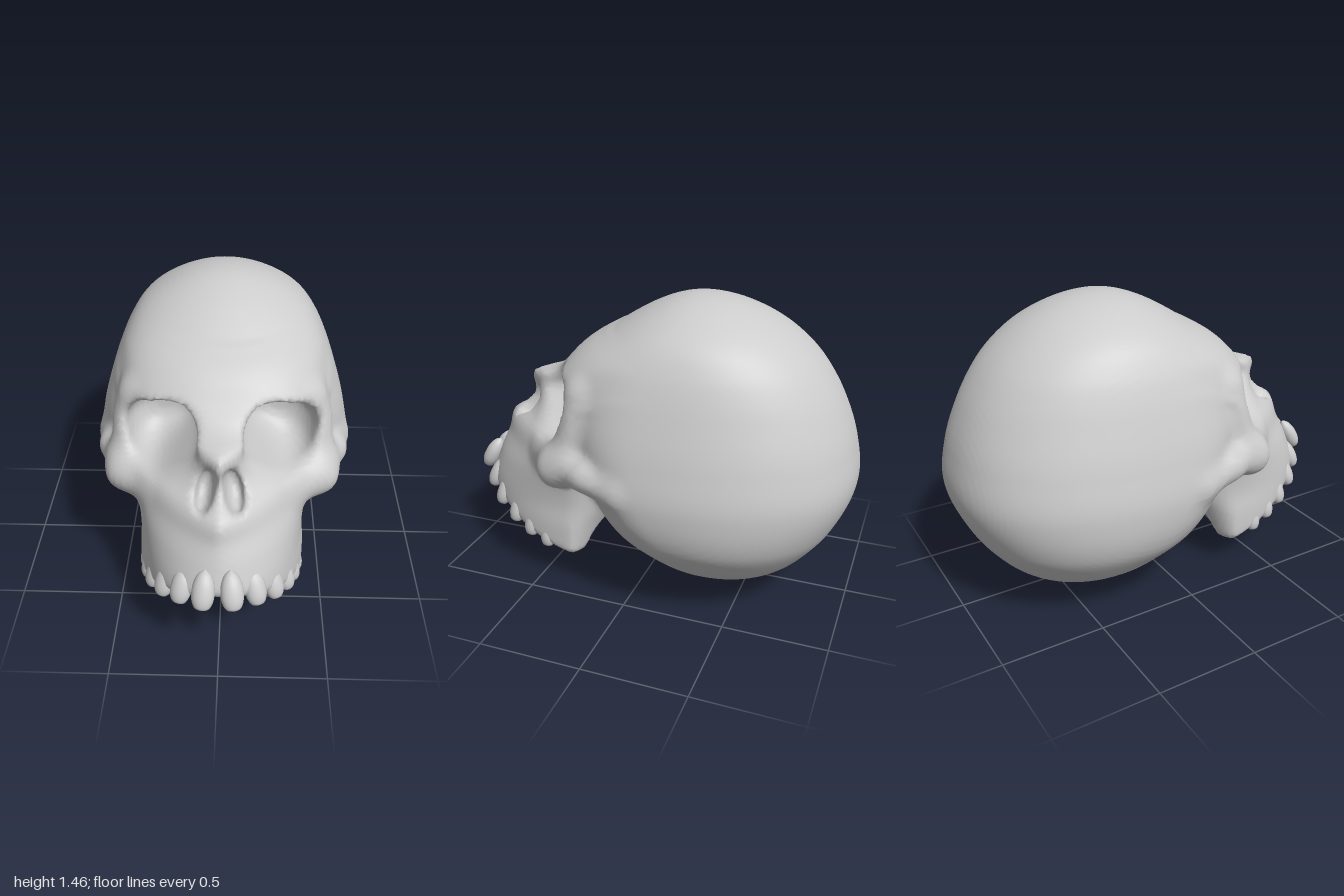
import * as THREE from 'three';

const smin = (a, b, k) => Math.min(a, b) - Math.max(k - Math.abs(a - b), 0) ** 2 / (4 * k);
const smax = (a, b, k) => -smin(-a, -b, k);

// Solid made of horizontal superellipse sections: [y, half width, front z, back z, centre z, exponent].
// Sections are spaced by the root of the distance from the top, which rounds the crown.
function loft(rows) {
  const lo = rows[0][0], hi = rows[rows.length - 1][0];
  const level = y => -Math.sqrt(Math.max(hi - y, 0));
  const curve = new THREE.CubicInterpolant(
    new Float32Array(rows.map(r => level(r[0]))), new Float32Array(rows.flatMap(r => r.slice(1))), 5);
  const field = (x, y, z) => {
    const [w, front, back, c, n] = curve.evaluate(level(y));
    const half = Math.max(w, 0.01);
    const u = Math.abs(z - c) / Math.max(z > c ? front - c : c - back, 0.01);
    const r = (Math.pow(Math.abs(x) / half, n) + Math.pow(u, n)) ** (1 / n);
    return (r * r - 1) * half * half + Math.max(y - hi, 0);
  };
  const e = 0.004;
  return (x, y, z) => {
    const f = field(x, y, z);
    const slope = Math.hypot(field(x + e, y, z) - f, field(x, y - e, z) - f, field(x, y, z + e) - f) / e;
    return Math.max(f / Math.max(slope, 0.1), lo - y);
  };
}

// Rounded bar between two points with a radius at each end
function bar([ax, ay, az], [bx, by, bz], r0, r1) {
  const dx = bx - ax, dy = by - ay, dz = bz - az, len = dx * dx + dy * dy + dz * dz;
  return (x, y, z) => {
    const t = Math.min(1, Math.max(0, ((x - ax) * dx + (y - ay) * dy + (z - az) * dz) / len));
    return Math.hypot(x - ax - t * dx, y - ay - t * dy, z - az - t * dz) - (r0 + (r1 - r0) * t);
  };
}

function ellipsoid(x, y, z, a, b, c) {
  const k0 = Math.hypot(x / a, y / b, z / c);
  const k1 = Math.hypot(x / (a * a), y / (b * b), z / (c * c));
  return k0 * (k0 - 1) / Math.max(k1, 1e-4);
}

const cranium = loft([
  [0, 0.06, -0.36, -0.48, -0.42, 2],
  [0.04, 0.16, -0.28, -0.53, -0.4, 2],
  [0.1, 0.25, -0.21, -0.63, -0.4, 2],
  [0.2, 0.42, -0.03, -0.77, -0.35, 2.1],
  [0.3, 0.52, 0.11, -0.86, -0.3, 2.15],
  [0.4, 0.59, 0.2, -0.925, -0.25, 2.2],
  [0.6, 0.632, 0.3, -1, -0.15, 2.25],
  [0.8, 0.605, 0.38, -0.98, -0.1, 2.25],
  [1.0, 0.55, 0.42, -0.91, -0.1, 2.2],
  [1.1, 0.515, 0.4, -0.855, -0.12, 2.2],
  [1.2, 0.47, 0.33, -0.78, -0.15, 2.2],
  [1.3, 0.4, 0.18, -0.67, -0.2, 2.1],
  [1.4, 0.25, 0.01, -0.5, -0.22, 2],
  [1.46, 0, -0.22, -0.22, -0.22, 2],
]);

// Upper jaw, nose and brow
const face = loft([
  [0.1, 0.4, 0.93, 0.27, 0.34, 2],
  [0.3, 0.4, 0.93, 0.18, 0.34, 2],
  [0.42, 0.39, 0.925, 0.1, 0.34, 2],
  [0.55, 0.4, 0.885, 0.05, 0.33, 1.8],
  [0.65, 0.42, 0.845, 0, 0.32, 1.5],
  [0.75, 0.45, 0.815, 0, 0.3, 1.25],
  [0.8, 0.46, 0.74, 0, 0.29, 1.15],
  [0.86, 0.47, 0.69, 0, 0.27, 1.08],
  [0.98, 0.46, 0.675, 0, 0.23, 1.08],
  [1.02, 0.45, 0.55, 0, 0.19, 1.5],
  [1.1, 0.44, 0.44, -0.1, 0.1, 2.4],
  [1.18, 0.4, 0.34, -0.2, 0, 2.4],
  [1.28, 0, -0.05, -0.05, -0.05, 2.2],
]);

const cheekBars = [
  bar([0.3, 0.67, 0.45], [0.45, 0.67, 0.34], 0.07, 0.085),   // cheekbone
  bar([0.45, 0.68, 0.34], [0.535, 0.69, 0.17], 0.085, 0.05), // arch
  bar([0.535, 0.69, 0.17], [0.57, 0.65, 0], 0.05, 0.045),
  bar([0.45, 0.75, 0.28], [0.405, 1.02, 0.23], 0.075, 0.065), // outer rim of the eye socket
];

const jawLine = z => 0.145 + 0.2 * Math.max(z - 0.3, 0) + 0.4 * Math.max(z - 0.3, 0) ** 2;

function eyeSocket(x, y, z) {
  const dx = x - 0.268, dy = y - 0.935, n = 2.6;
  const u = Math.abs(0.94 * dx - 0.34 * dy) / 0.18, v = Math.abs(0.34 * dx + 0.94 * dy) / 0.145;
  const bowl = ((u ** n + v ** n + Math.abs((z - 0.42) / 0.28) ** n) ** (1 / n) - 1) * 0.145;
  return smax(bowl, -0.63 * (x - 0.085) - 0.78 * (y - 0.93), 0.04); // slanting lower edge beside the nose
}

function skullField(sx, y, z) {
  const x = Math.abs(sx);
  let jaw = smax(face(x, y, z), jawLine(z) - y, 0.04);
  jaw = smax(jaw, -ellipsoid(x, y - 0.12, z - 0.35, 0.29, 0.28, 0.53), 0.04); // palate
  const base = ellipsoid(x, y - 0.32, z + 0.06, 0.22, 0.13, 0.2);
  let d = smin(smin(cranium(x, y, z), base, 0.06), jaw, 0.06);
  for (const b of cheekBars) d = smin(d, b(x, y, z), 0.08);
  d = smax(d, -eyeSocket(x, y, z), 0.035);
  const nostril = ellipsoid(x - 0.062 + (y - 0.83) * 0.2, y - 0.83, z - 0.69, 0.045, 0.095, 0.11);
  return smax(d, -nostril, 0.015);
}

// Skin the field: one vertex per crossed cell, one quad per crossed grid edge
function skin(field, min, size, step) {
  const [nx, ny, nz] = size.map(s => Math.round(s / step) + 1);
  const S = [ny * nz, nz, 1];
  const value = new Float32Array(nx * ny * nz);
  const cell = new Int32Array(nx * ny * nz).fill(-1);
  const pos = [], index = [];
  const each = (from, to, fn) => {
    for (let i = from; i < nx - to; i++)
      for (let j = from; j < ny - to; j++)
        for (let k = from; k < nz - to; k++) fn(i, j, k, i * S[0] + j * S[1] + k);
  };
  each(0, 0, (i, j, k, g) => {
    value[g] = field(min[0] + i * step, min[1] + j * step, min[2] + k * step);
  });
  const offset = c => (c & 1) * S[0] + ((c >> 1) & 1) * S[1] + (c >> 2);
  each(0, 1, (i, j, k, g) => {
    let n = 0;
    const sum = [0, 0, 0];
    for (let c = 0; c < 8; c++) for (let a = 0; a < 3; a++) {
      if (c & (1 << a)) continue;
      const p = value[g + offset(c)], q = value[g + offset(c | (1 << a))];
      if ((p < 0) === (q < 0)) continue;
      n++;
      for (let m = 0; m < 3; m++) sum[m] += m === a ? p / (p - q) : (c >> m) & 1;
    }
    if (!n) return;
    cell[g] = pos.length / 3;
    [i, j, k].forEach((o, m) => pos.push(min[m] + (o + sum[m] / n) * step));
  });
  each(1, 1, (i, j, k, g) => {
    for (let a = 0; a < 3; a++) {
      const inside = value[g] < 0;
      if (inside === (value[g + S[a]] < 0)) continue;
      const b = S[(a + 1) % 3], c = S[(a + 2) % 3];
      const q = [cell[g], cell[g - b], cell[g - b - c], cell[g - c]];
      if (!inside) q.reverse();
      index.push(q[0], q[1], q[2], q[0], q[2], q[3]);
    }
  });
  const geo = new THREE.BufferGeometry();
  geo.setAttribute('position', new THREE.Float32BufferAttribute(pos, 3));
  geo.setIndex(index);
  geo.computeVertexNormals();
  return geo;
}

export function createModel() {
  const group = new THREE.Group();
  const material = new THREE.MeshStandardMaterial({ color: 0xcccccc });

  const skull = new THREE.Mesh(skin(skullField, [-0.72, -0.054, -1.062], [1.44, 1.584, 2.088], 0.018), material);
  skull.name = 'skull';
  group.add(skull);

  // Teeth: broad rounded crown below, short root sunk into the gum, set along the jaw curve
  const profile = new THREE.SplineCurve([[0, -0.075], [0.03, -0.068], [0.046, -0.035], [0.049, 0.005],
    [0.043, 0.045], [0.026, 0.08], [0, 0.1]].map(p => new THREE.Vector2(...p))).getPoints(18);
  profile.forEach(p => { p.x = Math.max(p.x, 0); });
  const toothShape = new THREE.LatheGeometry(profile, 20);
  const teeth = new THREE.Group();
  teeth.name = 'teeth';
  [0.17, 0.46, 0.73, 0.97, 1.17, 1.35].forEach((angle, i) => {
    const x = 0.37 * Math.sin(angle), z = 0.34 + (i ? 0.575 : 0.61) * Math.cos(angle);
    const size = 1.04 - i * 0.04;
    for (const side of [1, -1]) {
      const tooth = new THREE.Mesh(toothShape, material);
      tooth.name = 'tooth';
      tooth.position.set(side * x, jawLine(z) + 0.04, z);
      tooth.rotation.set(-0.5 + i * 0.06, side * angle, 0, 'YXZ');
      tooth.scale.set(size, size, size * 0.85);
      teeth.add(tooth);
    }
  });
  group.add(teeth);
  return group;
}
